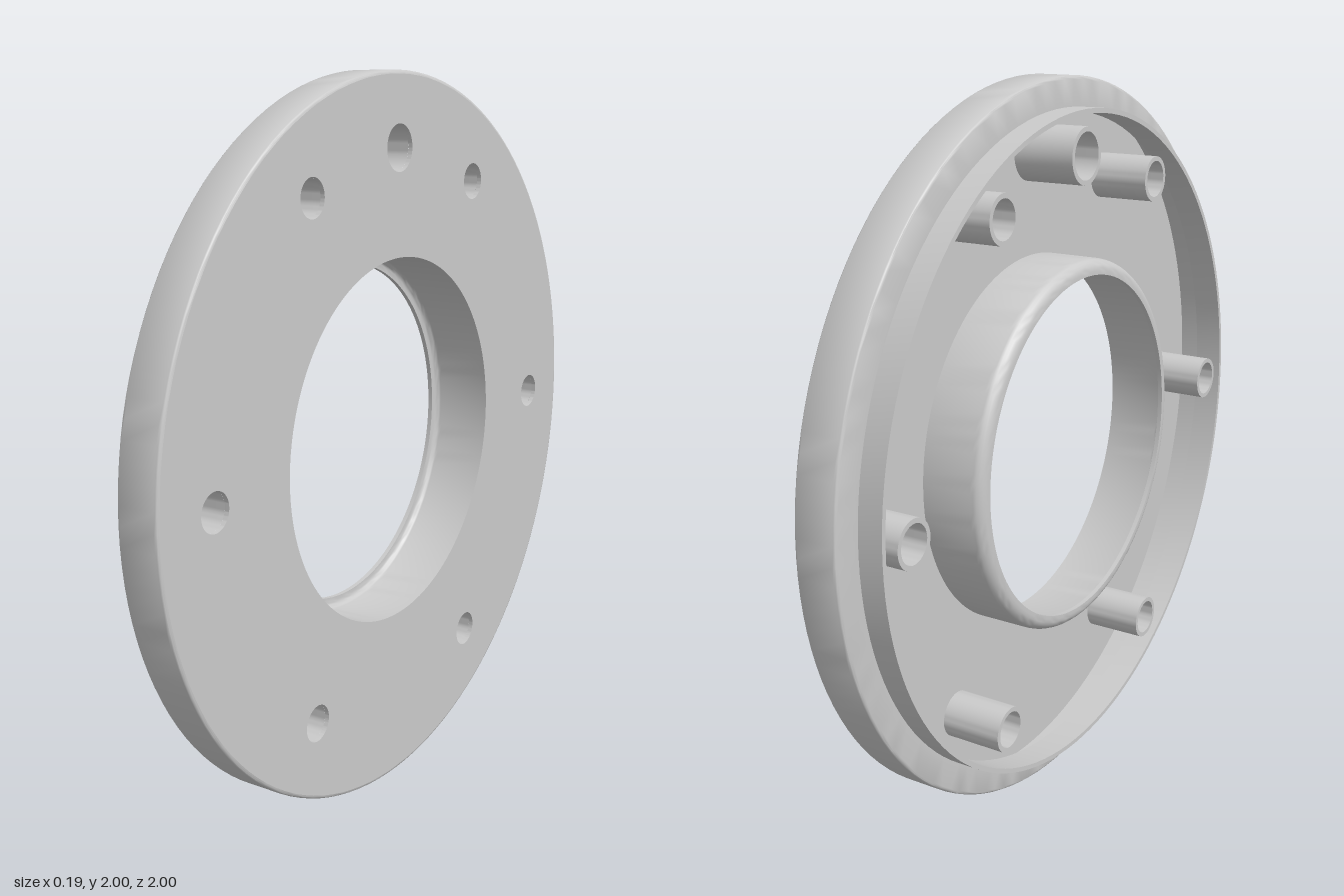
import * as THREE from 'three';
import { toCreasedNormals } from 'three/addons/utils/BufferGeometryUtils.js';

// Thin shell of wall thickness T, between the planes BACK and FRONT
const BACK = -0.094, FRONT = 0.094, T = 0.013, FLOOR = FRONT - T;

export function createModel() {
  const root = new THREE.Group();
  root.name = 'flangedCover';
  const metal = new THREE.MeshStandardMaterial({ color: 0xcacaca });
  metal.name = 'light grey metal';

  const add = (name, geometry) => {
    const mesh = new THREE.Mesh(geometry, metal);
    mesh.name = name;
    mesh.position.y = 1;
    root.add(mesh);
    return mesh;
  };

  // Turned part: profile of [radius, x], spun about the x axis
  const turned = (name, profile, segments) => {
    const points = profile.map(([r, x]) => new THREE.Vector2(r, x));
    const g = new THREE.LatheGeometry(points, segments);
    g.rotateZ(-Math.PI / 2);
    return add(name, toCreasedNormals(g, 0.6));
  };

  // Round corner of radius R from angle a0 to a1, as profile points
  const arc = (cr, cx, R, a0, a1, n = 6) =>
    Array.from({ length: n + 1 }, (_, i) => {
      const a = a0 + ((a1 - a0) * i) / n;
      return [cr + R * Math.cos(a), cx + R * Math.sin(a)];
    });
  const Q = Math.PI / 2;

  // Outer wall with stepped locating rim and eased edges
  turned('outerRim', [
    [1 - T, FLOOR], [1 - T, -0.026 + T], [0.92 - T, -0.026 + T], [0.92 - T, BACK],
    [0.92, BACK], [0.92, -0.026],
    ...arc(0.99, -0.016, 0.01, -Q, 0, 4),
    ...arc(0.99, FRONT - 0.01, 0.01, 0, Q, 4),
  ], 128);

  // Central collar whose back end curls inward to a lip
  turned('centreCollar', [
    [0.51 + T, FRONT], [0.51, FRONT],
    ...arc(0.49, BACK + T + 0.02, 0.02, 0, -Q),
    [0.48, BACK + T], [0.48, BACK],
    ...arc(0.49, BACK + T + 0.02, 0.02 + T, -Q, 0),
    [0.51 + T, FLOOR],
  ], 128);

  // Six bolt holes on a circle plus a larger one at the top
  const holes = [{ y: 0.8, z: 0, r: 0.063 }];
  for (let i = 0; i < 6; i++) {
    const a = (i * Math.PI) / 3;
    holes.push({ y: 0.8 * Math.sin(a), z: 0.8 * Math.cos(a), r: 0.051 });
  }

  // Face plate pierced by the bore and the holes
  const shape = new THREE.Shape().absarc(0, 0, 0.99, 0, Math.PI * 2, false);
  const pierce = (x, y, r) =>
    shape.holes.push(new THREE.Path().absarc(x, y, r, 0, Math.PI * 2, true));
  pierce(0, 0, 0.51 + T);
  holes.forEach(({ y, z, r }) => pierce(-z, y, r));
  const plate = new THREE.ExtrudeGeometry(shape, {
    depth: T, bevelEnabled: false, curveSegments: 64,
  });
  plate.translate(0, 0, FLOOR);
  plate.rotateY(Math.PI / 2);
  add('facePlate', toCreasedNormals(plate, 0.6));

  // Tubular bosses behind each hole
  holes.forEach(({ y, z, r }, i) => {
    const R = r + T;
    const boss = turned(i ? 'boltBoss' + i : 'topBoss', [
      [r, FLOOR], [r, BACK], [R, BACK], [R, FLOOR],
    ], 40);
    boss.position.y += y;
    boss.position.z = z;
  });

  return root;
}
